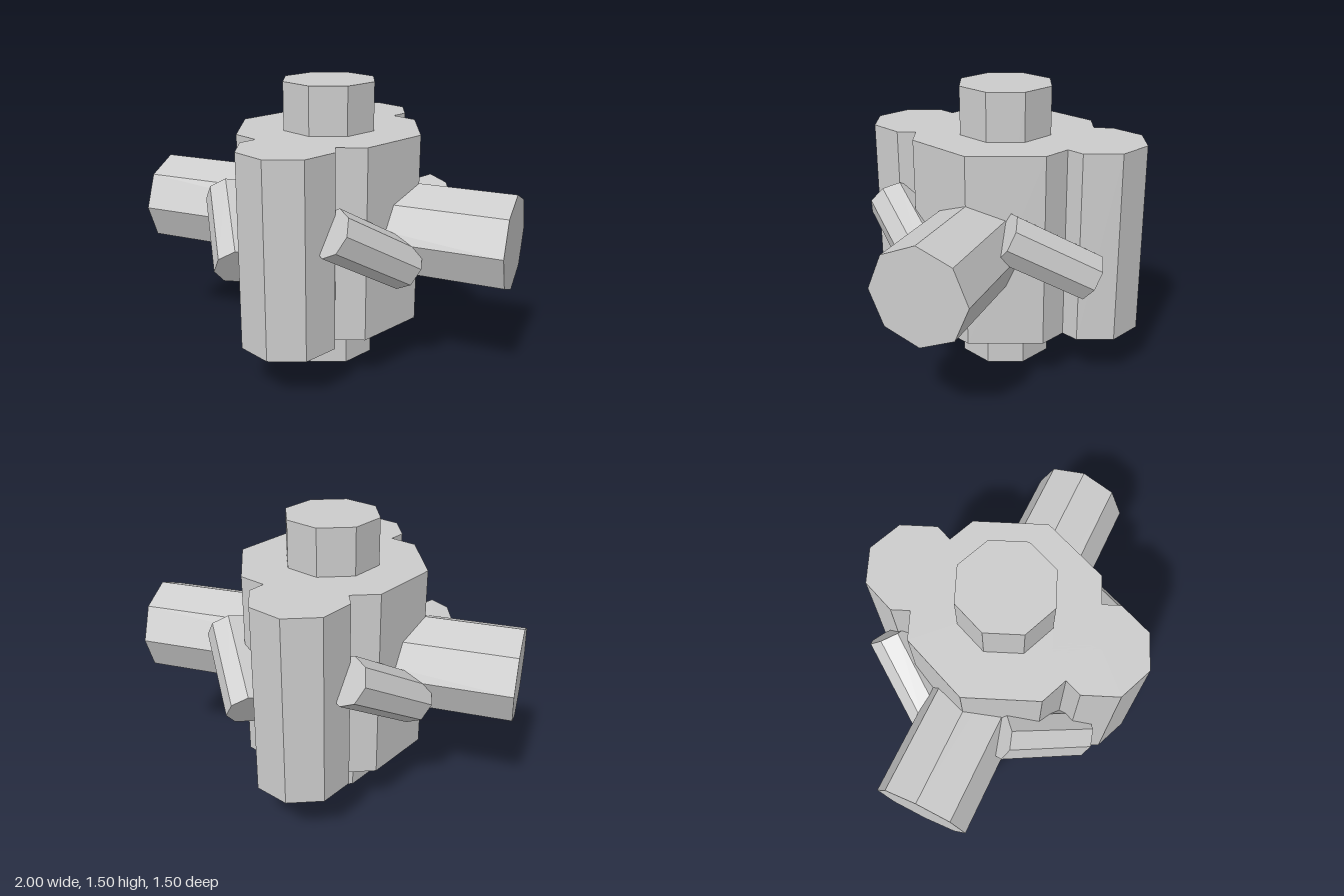
import * as THREE from 'three';

const SIDES = 8;
const MID = 0.75; // height of the middle of the hub

export function createModel() {
  const model = new THREE.Group();
  model.name = 'hubWithShafts';
  const material = new THREE.MeshStandardMaterial({ color: 0xcccccc, flatShading: true });

  // Octagonal bar, upright and centred at (x, MID, z)
  function bar(name, radius, length, x = 0, z = 0) {
    const mesh = new THREE.Mesh(new THREE.CylinderGeometry(radius, radius, length, SIDES), material);
    mesh.name = name;
    mesh.position.set(x, MID, z);
    model.add(mesh);
    return mesh;
  }

  // Central hub with the vertical shaft through it
  bar('hub', 0.5, 1);
  bar('verticalShaft', 0.25, 1.5);

  // Horizontal shaft through both sides
  bar('crossShaft', 0.25, 2).rotation.z = Math.PI / 2;

  // Columns set into the front and back of the hub
  bar('frontColumn', 0.25, 1, 0, 0.5);
  bar('backColumn', 0.25, 1, 0, -0.5);

  // Four slanted pins, one at each corner, alternating in tilt
  for (const sx of [1, -1]) {
    for (const sz of [1, -1]) {
      const side = (sz > 0 ? 'front' : 'back') + (sx > 0 ? 'Left' : 'Right');
      const pin = bar(side + 'Pin', 0.125, 0.5, sx * 0.375, sz * 0.375);
      pin.rotation.set(sx * Math.PI / 4, 0, sz * Math.PI / 4, 'ZYX');
    }
  }

  return model;
}
